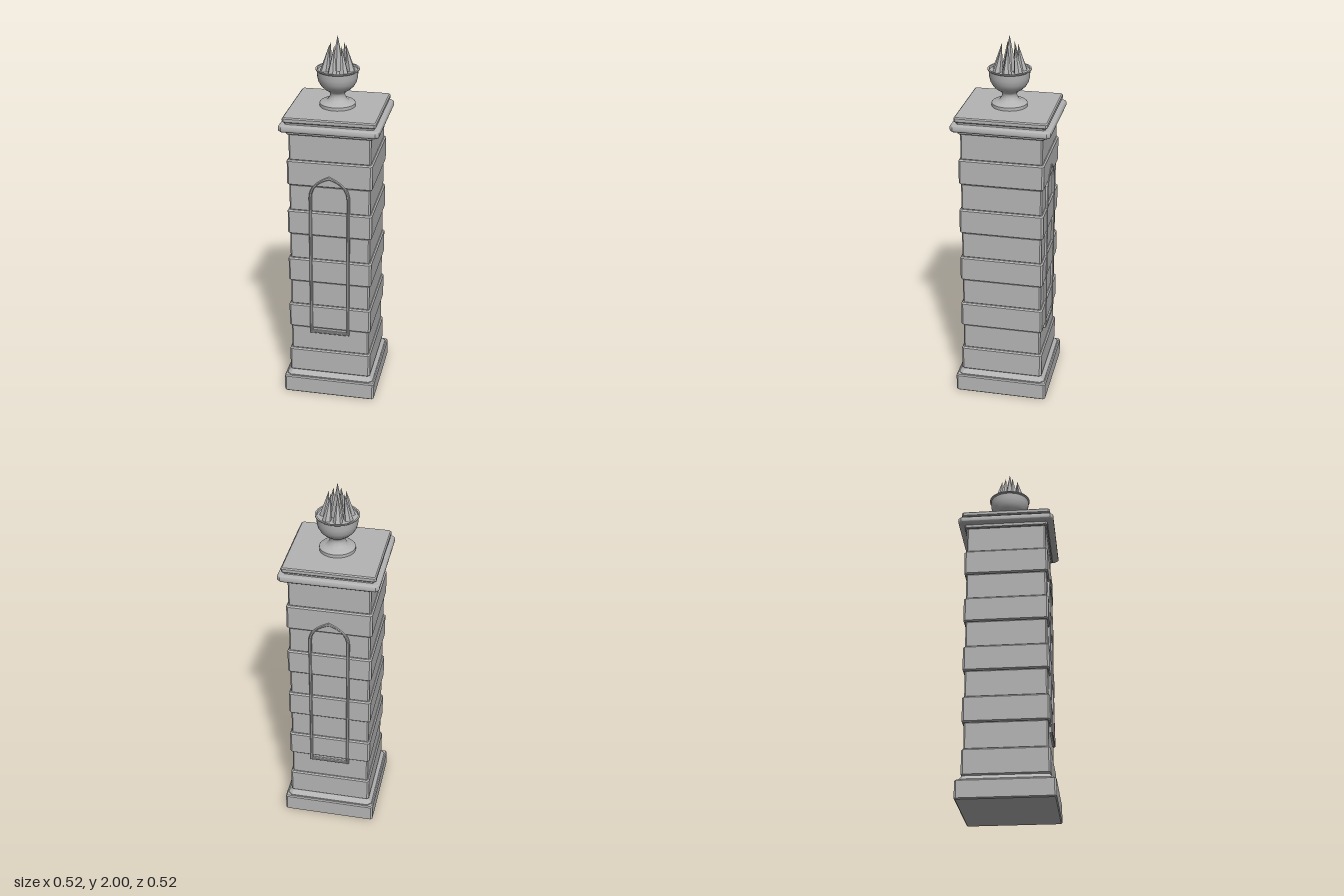
import * as THREE from 'three';
import { toCreasedNormals } from 'three/addons/utils/BufferGeometryUtils.js';

export function createModel() {
  const group = new THREE.Group();
  const stone = new THREE.MeshStandardMaterial({ color: 0xb4b4b4 });
  stone.name = 'grey stone';

  const add = (name, geometry, parent = group) => {
    const mesh = new THREE.Mesh(geometry, stone);
    mesh.name = name;
    parent.add(mesh);
    return mesh;
  };

  // Square slab with bevelled edges and clipped corners
  const slab = (name, half, y0, y1, bevel, clip = 0.006, segments = 1) => {
    const h = half - bevel, c = h - clip;
    const shape = new THREE.Shape([
      [h, -c], [h, c], [c, h], [-c, h], [-h, c], [-h, -c], [-c, -h], [c, -h],
    ].map(([x, y]) => new THREE.Vector2(x, y)));
    const geometry = new THREE.ExtrudeGeometry(shape, {
      depth: y1 - y0 - 2 * bevel, bevelEnabled: true,
      bevelSize: bevel, bevelThickness: bevel, bevelSegments: segments,
    });
    geometry.rotateX(-Math.PI / 2).translate(0, y0 + bevel, 0);
    return add(name, segments > 1 ? toCreasedNormals(geometry, 0.7) : geometry);
  };

  // Plinth with splayed top
  slab('plinth', 0.252, 0, 0.1, 0.006);
  slab('plinthSplay', 0.24, 0.07, 0.13, 0.025);

  // Alternating wide and narrow courses
  const joints = [0.128, 0.268, 0.408, 0.548, 0.69, 0.828, 0.97, 1.108, 1.25, 1.39, 1.535];
  for (let i = 0; i < joints.length - 1; i++) {
    const wide = i % 2 === 0;
    slab(wide ? 'wideCourse' : 'narrowCourse', wide ? 0.224 : 0.214,
      joints[i], joints[i + 1], wide ? 0.007 : 0.003, 0.006);
  }

  // Capping stones
  slab('capNeck', 0.226, 1.53, 1.556, 0.005);
  slab('capMoulding', 0.259, 1.55, 1.587, 0.012, 0.01, 4);
  slab('capRecess', 0.23, 1.58, 1.605, 0.004);
  slab('capTop', 0.241, 1.597, 1.625, 0.006);

  // Pointed arch outlines on the front and back
  const archPath = (path, w, bottom, apex) => {
    path.moveTo(-w, bottom);
    path.lineTo(w, bottom);
    path.lineTo(w, 1.19);
    path.bezierCurveTo(w, 1.25, w * 0.55, 1.285, 0, apex);
    path.bezierCurveTo(-w * 0.55, 1.285, -w, 1.25, -w, 1.19);
    path.closePath();
    return path;
  };
  const frameShape = archPath(new THREE.Shape(), 0.104, 0.382, 1.311);
  frameShape.holes.push(archPath(new THREE.Path(), 0.097, 0.389, 1.3));
  const frame = new THREE.ExtrudeGeometry(frameShape, {
    depth: 0.018, bevelEnabled: true, bevelSize: 0.004, bevelThickness: 0.004,
    bevelSegments: 1, curveSegments: 8,
  });
  frame.translate(0, 0, 0.206);
  add('frontArchFrame', frame);
  add('backArchFrame', frame).rotation.y = Math.PI;

  // Urn: foot, stem, bowl, lip and shallow filled top
  const urn = new THREE.Group();
  urn.name = 'urn';
  group.add(urn);
  const profile = [
    [0, 1.622], [0.093, 1.622], [0.093, 1.642], [0.088, 1.647], [0.064, 1.65],
    [0.05, 1.66], [0.041, 1.675], [0.038, 1.69], [0.044, 1.702], [0.066, 1.716],
    [0.086, 1.735], [0.099, 1.758], [0.105, 1.785], [0.106, 1.815],
    [0.113, 1.82], [0.113, 1.825], [0.104, 1.825], [0.102, 1.816], [0, 1.816],
  ].map(([r, y]) => new THREE.Vector2(r, y));
  add('urnBody', toCreasedNormals(new THREE.LatheGeometry(profile, 40), 0.7), urn);

  // Faceted spike whose tip leans inward
  const spike = (radius, y0, y1, lean) => {
    const cone = new THREE.ConeGeometry(radius, y1 - y0, 6, 1).toNonIndexed();
    cone.translate(0, (y1 - y0) / 2, 0);
    const p = cone.attributes.position;
    for (let i = 0; i < p.count; i++) p.setX(i, p.getX(i) - lean * p.getY(i) / (y1 - y0));
    cone.translate(0, y0, 0);
    cone.computeVertexNormals();
    return cone;
  };
  add('centreSpike', spike(0.037, 1.812, 2, 0), urn);
  const outer = spike(0.025, 1.812, 1.955, 0.027).translate(0.069, 0, 0);
  for (let i = 0; i < 7; i++) {
    add('outerSpike', outer, urn).rotation.y = (i / 7) * Math.PI * 2;
  }

  return group;
}
